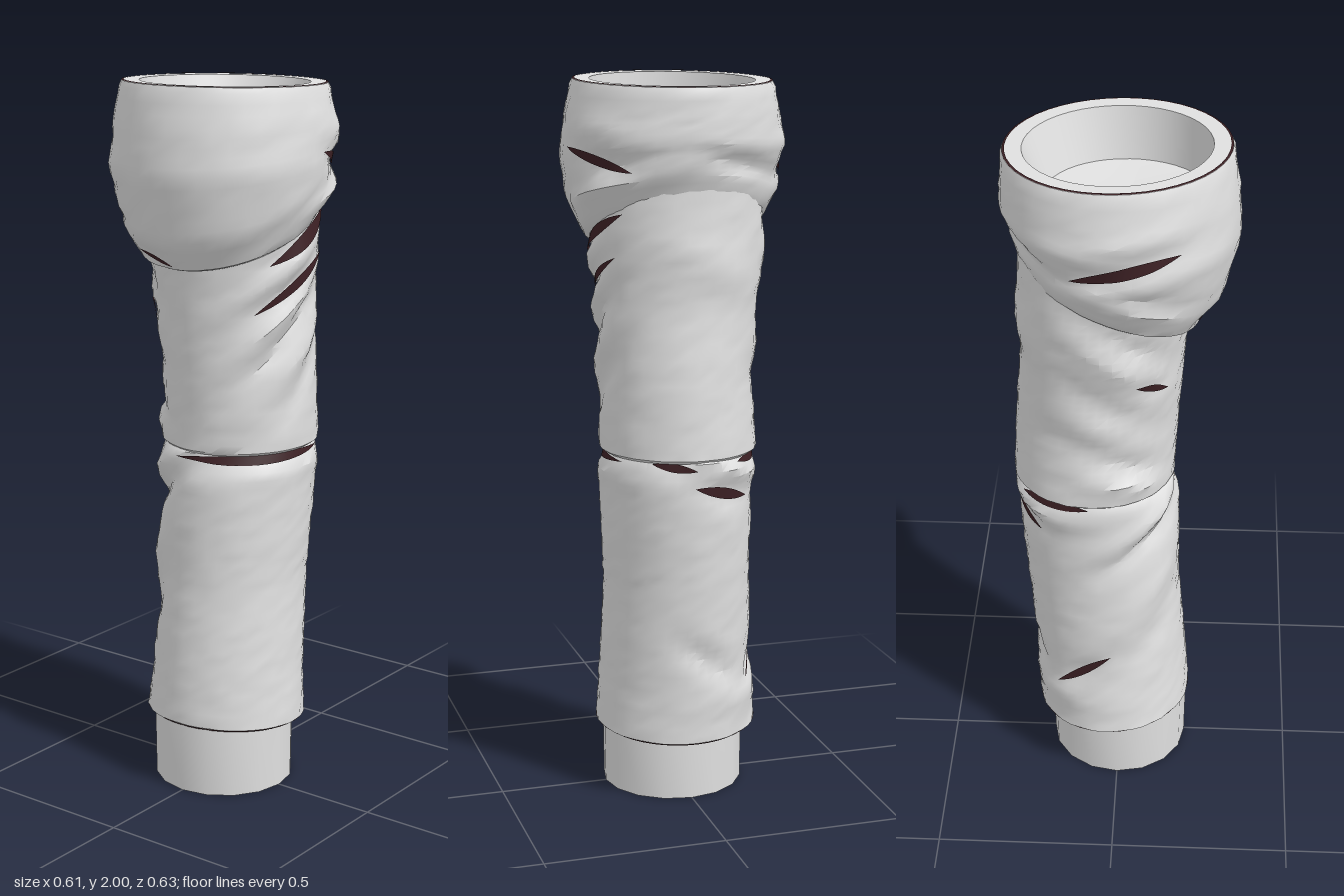
import * as THREE from 'three';
import { toCreasedNormals } from 'three/addons/utils/BufferGeometryUtils.js';

const SIDES = 44;

// small seeded generator for the slightly irregular facets
function seeded(seed) {
  return () => {
    seed = (seed * 16807) % 2147483647;
    return seed / 2147483647 - 0.5;
  };
}

// signed angle difference; angle 0 is the front, +PI/2 the left, PI the back
const angleGap = (a, b) => Math.atan2(Math.sin(a - b), Math.cos(a - b));
const mix = (p, q, t) => p.map((v, i) => v + (q[i] - v) * t);

// Each fold: [angle, y, rise per radian, half height, depth, angular spread]
function foldOffset(folds, a, y) {
  let sum = 0;
  for (const [fa, fy, rise, w, depth, spread] of folds) {
    const da = angleGap(a, fa);
    const u = (y - fy - rise * da) / w;
    sum += depth * Math.exp(-u * u - (da / spread) ** 2);
  }
  return sum;
}

// Height and point on an elliptical row: [y, centreX, centreZ, radiusX, radiusZ, tilt, wrinkle]
const rowHeight = ([y, , cz, , rz, tilt], a) => y + tilt * (cz + rz * Math.cos(a));
const rowPoint = ([, cx, cz, rx, rz], a, y, d) => [cx + (rx + d) * Math.sin(a), y, cz + (rz + d) * Math.cos(a)];

function geometryFrom(pos, index) {
  const g = new THREE.BufferGeometry();
  g.setAttribute('position', new THREE.Float32BufferAttribute(pos, 3));
  g.setIndex(index);
  return toCreasedNormals(g, 0.6);
}

// skin through the rows
function cloth(rows, folds = [], seed = 1) {
  const rand = seeded(seed);
  const rings = [];
  rows.forEach((row, k) => {
    const next = rows[k + 1];
    const steps = next && row[6] && next[6] ? Math.max(1, Math.round((next[0] - row[0]) / 0.022)) : 1;
    for (let s = 0; s < (next ? steps : 1); s++) rings.push(next ? mix(row, next, s / steps) : row);
  });
  const pos = [], index = [];
  rings.forEach((ring, j) => {
    for (let i = 0; i < SIDES; i++) {
      const a = i / SIDES * Math.PI * 2;
      const y = rowHeight(ring, a);
      pos.push(...rowPoint(ring, a, y, ring[6] * (foldOffset(folds, a, y) + rand() * 0.004)));
      if (j < rings.length - 1) {
        const p = j * SIDES + i, q = j * SIDES + (i + 1) % SIDES;
        index.push(p, q, q + SIDES, p, q + SIDES, p + SIDES);
      }
    }
  });
  return geometryFrom(pos, index);
}

// lens-shaped plate lying on the cloth: [angle, y, rise per radian, half height, half span]
function slitPlate(rows, folds, [sa, sy, rise, half, span]) {
  const outer = rows.filter((r) => r[6]);
  const pos = [], index = [], n = 16;
  for (let i = 0; i <= n; i++) {
    const t = i / n * 2 - 1, a = sa + t * span;
    for (const side of [-1, 1]) {
      const y = sy + rise * t * span + side * half * (1 - t * t);
      let k = 0;
      while (k < outer.length - 2 && rowHeight(outer[k + 1], a) < y) k++;
      const low = rowHeight(outer[k], a), high = rowHeight(outer[k + 1], a);
      const row = mix(outer[k], outer[k + 1], THREE.MathUtils.clamp((y - low) / (high - low), 0, 1));
      pos.push(...rowPoint(row, a, y, foldOffset(folds, a, y) + 0.006));
    }
    if (i < n) index.push(2 * i, 2 * i + 2, 2 * i + 3, 2 * i, 2 * i + 3, 2 * i + 1);
  }
  return geometryFrom(pos, index);
}

export function createModel() {
  const group = new THREE.Group();
  const material = (name, color) => {
    const m = new THREE.MeshStandardMaterial({ color, side: THREE.DoubleSide });
    m.name = name;
    return m;
  };
  const grey = material('light grey cloth', 0xe0e0e0);
  const dark = material('dark red lining', 0x3c2024);
  const add = (name, geometry, mat = grey) => {
    const mesh = new THREE.Mesh(geometry, mat);
    mesh.name = name;
    group.add(mesh);
  };
  // cloth part whose open slits sit in their own grooves
  const addCloth = (name, rows, folds, slits, seed) => {
    const all = folds.concat(slits.map(([a, y, rise, half, span]) => [a, y, rise, half * 2.2, -0.016, span]));
    add(name, cloth(rows, all, seed));
    slits.forEach((s) => add(name + 'Slit', slitPlate(rows, all, s), dark));
  };

  // hollow end ring under the lower sleeve
  const profile = [[0, 0.12], [0.135, 0.12], [0.155, 0.01], [0.197, 0.005], [0.2, 0.25]]
    .map(([r, y]) => new THREE.Vector2(r, y));
  add('endCuff', toCreasedNormals(new THREE.LatheGeometry(profile, 16), 0.5));

  // dark underside of the lower hem
  add('hemLining', cloth([
    [0.215, 0, -0.01, 0.19, 0.19, 0.07, 0],
    [0.19, -0.005, -0.015, 0.217, 0.212, 0.07, 0],
    [0.197, -0.005, -0.015, 0.227, 0.221, 0.07, 0],
  ]), dark);

  // lower sleeve with the twisted folds below the bend
  addCloth('lowerSleeve', [
    [0.197, -0.005, -0.015, 0.227, 0.221, 0.07, 1],
    [0.32, 0, -0.02, 0.214, 0.218, 0.04, 1],
    [0.6, 0, -0.043, 0.204, 0.217, 0, 1],
    [0.9, 0.01, -0.06, 0.209, 0.227, 0, 1],
    [0.965, 0.005, -0.067, 0.213, 0.223, 0, 1],
    [0.99, 0.005, -0.07, 0.208, 0.218, 0, 1],
    [1.03, 0.005, -0.07, 0.17, 0.18, 0, 0],
  ], [
    [-0.8, 0.92, 0.11, 0.035, 0.018, 0.8],
    [-0.8, 0.85, 0.13, 0.03, -0.02, 0.7],
    [-0.9, 0.66, 0.2, 0.07, 0.014, 0.6],
    [-1.0, 0.48, 0.2, 0.06, -0.01, 0.5],
    [-2.4, 0.95, -0.04, 0.03, 0.012, 0.7],
    [-3.0, 0.42, -0.14, 0.035, -0.018, 0.4],
    [-2.3, 0.3, 0, 0.05, 0.014, 0.8],
    [1.5, 0.94, 0, 0.025, 0.008, 0.9],
  ], [
    [0.9, 0.98, 0.003, 0.014, 1.15],
    [-2.1, 0.985, 0, 0.014, 0.5],
    [-2.75, 0.9, -0.05, 0.016, 0.45],
    [-1.9, 0.4, 0.16, 0.015, 0.4],
    [2.8, 0.98, -0.03, 0.012, 0.3],
  ], 11);

  // upper sleeve with diagonal folds rising to the back
  addCloth('upperSleeve', [
    [1.01, 0.005, -0.07, 0.17, 0.18, 0, 0],
    [0.992, 0.005, -0.07, 0.205, 0.215, 0, 0],
    [1.0, 0.005, -0.07, 0.215, 0.223, 0, 1],
    [1.2, 0.01, -0.06, 0.209, 0.224, 0, 1],
    [1.4, 0, -0.045, 0.222, 0.222, 0, 1],
    [1.55, 0, -0.04, 0.24, 0.23, 0, 1],
    [1.75, 0, -0.03, 0.242, 0.237, 0, 1],
  ], [
    [1.4, 1.52, 0.14, 0.03, 0.014, 0.8],
    [1.3, 1.38, 0.17, 0.03, 0.014, 0.7],
    [1.3, 1.31, 0.19, 0.03, -0.018, 0.6],
    [1.6, 1.27, 0.2, 0.04, 0.012, 0.6],
    [1.7, 1.2, 0.2, 0.045, -0.012, 0.5],
    [-1.2, 1.52, -0.15, 0.035, -0.016, 0.7],
    [-1.3, 1.44, -0.15, 0.035, 0.014, 0.6],
    [-1.5, 1.33, -0.15, 0.04, -0.014, 0.6],
    [-1.6, 1.25, -0.1, 0.04, 0.01, 0.5],
    [-1.2, 1.06, -0.05, 0.03, 0.016, 0.5],
    [-1.1, 1.12, -0.08, 0.03, -0.016, 0.5],
    [-2.8, 1.5, -0.1, 0.06, 0.01, 0.8],
  ], [
    [1.65, 1.585, 0.11, 0.02, 0.6],
    [1.5, 1.46, 0.12, 0.015, 0.62],
    [-0.88, 1.37, -0.08, 0.012, 0.25],
  ], 23);

  // bulging top with a slanted hem, a thick rim and a shallow hollow
  addCloth('topBulge', [
    [1.64, 0, -0.03, 0.2, 0.2, -0.4, 0],
    [1.585, 0, -0.025, 0.23, 0.225, -0.4, 0],
    [1.595, 0, -0.02, 0.245, 0.239, -0.39, 1],
    [1.67, 0, -0.005, 0.285, 0.279, -0.3, 1],
    [1.8, 0, 0.004, 0.304, 0.312, -0.12, 1],
    [1.9, 0, 0, 0.29, 0.308, -0.03, 1],
    [1.975, 0, -0.005, 0.274, 0.298, 0.03, 1],
    [1.99, 0, -0.005, 0.267, 0.292, 0.03, 0],
    [1.99, 0, -0.005, 0.222, 0.243, 0.03, 0],
    [1.85, 0.005, 0.02, 0.19, 0.215, 0, 0],
    [1.835, 0.005, 0.02, 0.001, 0.001, 0, 0],
  ], [
    [-1.5, 1.73, 0.06, 0.03, 0.014, 0.5],
    [-1.5, 1.86, 0.05, 0.03, 0.01, 0.5],
    [-1.1, 1.67, -0.12, 0.025, -0.014, 0.6],
    [2.2, 1.72, 0.07, 0.035, 0.018, 0.8],
    [1.4, 1.66, 0.13, 0.03, -0.014, 0.6],
    [2.3, 1.86, -0.04, 0.035, 0.01, 0.7],
    [-2.6, 1.77, -0.07, 0.03, -0.02, 0.6],
  ], [
    [2.1, 1.79, -0.07, 0.014, 0.4],
    [-1.5, 1.785, 0.08, 0.018, 0.48],
    [-0.25, 1.535, -0.07, 0.008, 0.25],
  ], 37);

  // thin dark seam along the outer edge of the rim
  add('rimSeam', cloth([
    [1.991, 0, -0.005, 0.267, 0.292, 0.03, 0],
    [1.992, 0, -0.005, 0.261, 0.286, 0.03, 0],
  ]), dark);

  return group;
}
